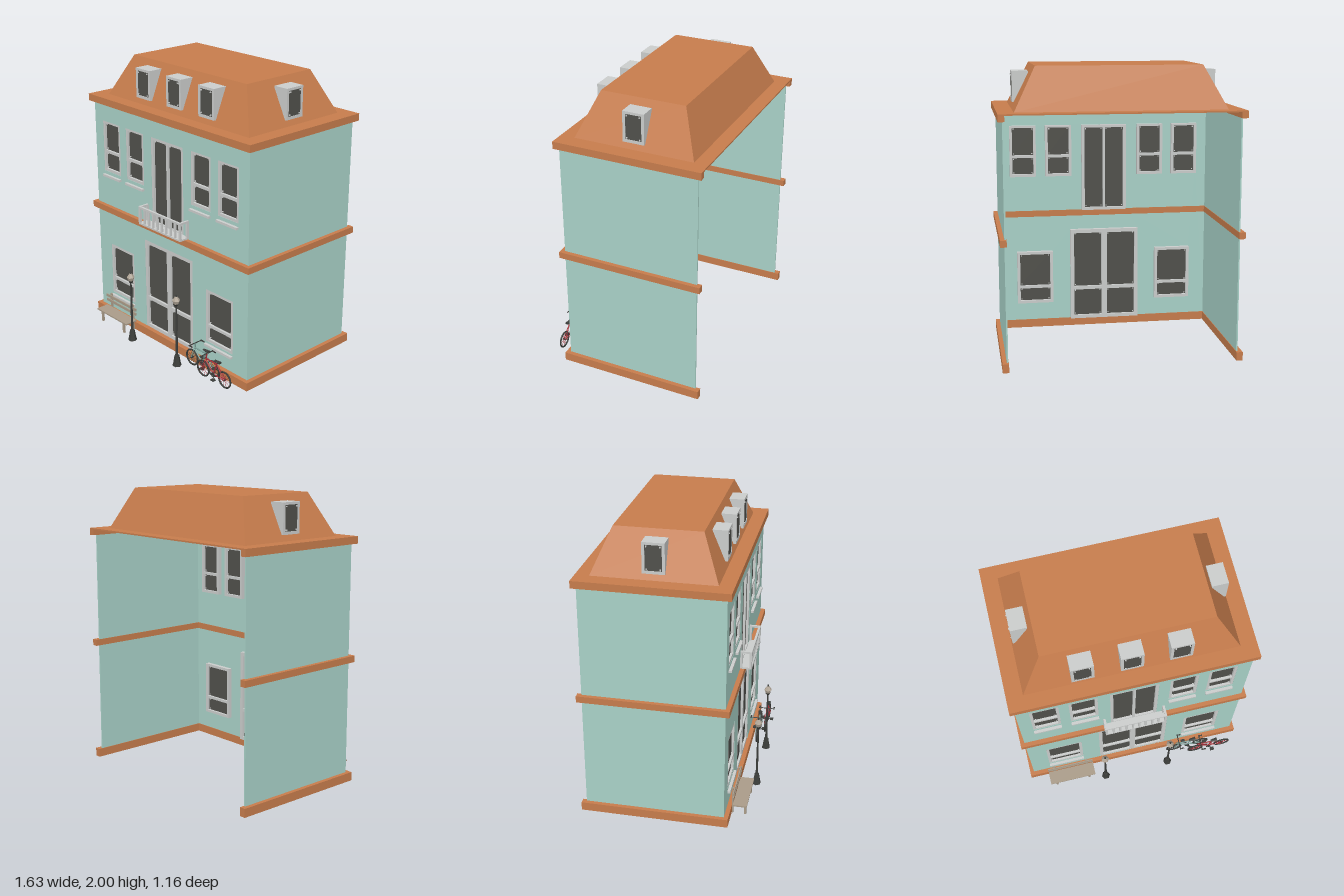
import * as THREE from 'three';

const mat = (name, color, side = THREE.FrontSide) => {
  const m = new THREE.MeshStandardMaterial({ color, side });
  m.name = name;
  return m;
};

export function createModel() {
  const M = {
    roof: mat('terracotta', 0xc67c4c, THREE.DoubleSide),
    wall: mat('mint plaster', 0xa8d1c7),
    frame: mat('pale grey', 0xcacccb),
    glass: mat('dark glass', 0x50504b),
    iron: mat('dark iron', 0x3c3e3b),
    wood: mat('weathered wood', 0xa99b88),
    lantern: mat('lantern glass', 0xb0a596),
    red: mat('red paint', 0xa93038),
    teal: mat('teal paint', 0x7fa49c),
  };
  const root = new THREE.Group();

  const group = (name, parent = root) => {
    const g = new THREE.Group();
    g.name = name;
    parent.add(g);
    return g;
  };
  const add = (parent, name, geo, m, x = 0, y = 0, z = 0) => {
    const mesh = new THREE.Mesh(geo, m);
    mesh.name = name;
    mesh.position.set(x, y, z);
    parent.add(mesh);
    return mesh;
  };
  // box given by its limits on each axis
  const block = (parent, name, m, x0, x1, y0, y1, z0, z1) =>
    add(parent, name, new THREE.BoxGeometry(x1 - x0, y1 - y0, z1 - z0), m,
      (x0 + x1) / 2, (y0 + y1) / 2, (z0 + z1) / 2);
  // round rod between two points
  const rod = (parent, name, m, a, b, r, sides = 6) => {
    const p = new THREE.Vector3(...a), q = new THREE.Vector3(...b);
    const d = q.clone().sub(p);
    const mesh = add(parent, name, new THREE.CylinderGeometry(r, r, d.length(), sides), m);
    mesh.position.copy(p).add(q).multiplyScalar(0.5);
    mesh.quaternion.setFromUnitVectors(new THREE.Vector3(0, 1, 0), d.normalize());
    return mesh;
  };
  const rect = (P, x0, x1, y0, y1) => {
    const s = new P();
    s.moveTo(x0, y0); s.lineTo(x1, y0); s.lineTo(x1, y1); s.lineTo(x0, y1); s.closePath();
    return s;
  };
  // frame with rectangular panes [x0, x1, y0, y1], glazed in the middle of its depth
  const glazed = (parent, name, o, panes, depth) => {
    const g = group(name, parent);
    const s = rect(THREE.Shape, ...o);
    panes.forEach(p => s.holes.push(rect(THREE.Path, ...p)));
    add(g, 'frame', new THREE.ExtrudeGeometry(s, { depth, bevelEnabled: false }), M.frame);
    panes.forEach(([a, b, c, d]) => {
      block(g, 'pane', M.glass, a, b, c, d, depth * 0.45, depth * 0.45 + 0.006);
      for (const x of [a + 0.01, b - 0.01]) for (const y of [c + 0.01, d - 0.01])
        block(g, 'paneClip', M.frame, x - 0.004, x + 0.004, y - 0.004, y + 0.004, depth * 0.4, depth * 0.4 + 0.014);
    });
    return g;
  };

  // Openings of the front wall
  const openings = [];
  for (const cx of [-0.522, 0.518]) openings.push({
    name: 'groundWindow', o: [cx - 0.133, cx + 0.133, 0.195, 0.588], sill: 0.165,
    panes: [[cx - 0.112, cx + 0.112, 0.33, 0.568], [cx - 0.112, cx + 0.112, 0.215, 0.31]],
  });
  for (const cx of [-0.605, -0.345, 0.337, 0.598]) openings.push({
    name: 'upperWindow', o: [cx - 0.096, cx + 0.096, 1.155, 1.53], sill: 1.115,
    panes: [[cx - 0.077, cx + 0.077, 1.315, 1.515], [cx - 0.077, cx + 0.077, 1.175, 1.295]],
  });
  openings.push({
    name: 'entranceDoor', o: [-0.258, 0.252, 0.06, 0.747],
    panes: [[-0.232, -0.022], [0.018, 0.225]].flatMap(([a, b]) => [[a, b, 0.31, 0.72], [a, b, 0.085, 0.285]]),
  });
  openings.push({
    name: 'balconyDoor', o: [-0.166, 0.164, 0.895, 1.53],
    panes: [[-0.145, -0.01, 0.915, 1.51], [0.008, 0.143, 0.915, 1.51]],
  });

  // Walls, open at the back
  const W = 0.788, walls = group('walls');
  const front = rect(THREE.Shape, -W, W, 0.01, 1.705);
  openings.forEach(w => front.holes.push(rect(THREE.Path, ...w.o)));
  add(walls, 'frontWall', new THREE.ExtrudeGeometry(front, { depth: 0.01, bevelEnabled: false }), M.wall, 0, 0, 0.4);
  for (const s of [-1, 1]) add(walls, 'sideWall', new THREE.BoxGeometry(0.01, 1.695, 0.95), M.wall, s * (W - 0.005), 0.8575, -0.075);

  openings.forEach(w => {
    glazed(root, w.name, w.o, w.panes, 0.04).position.z = 0.368;
    if (w.sill) block(root, 'windowSill', M.frame, w.o[0], w.o[1], w.sill, w.sill + 0.016, 0.405, 0.43);
  });

  // Trim bands around three sides
  for (const [name, y0, y1] of [['baseTrim', 0, 0.06], ['middleTrim', 0.85, 0.895], ['eavesTrim', 1.66, 1.708]]) {
    const g = group(name);
    block(g, 'frontTrim', M.roof, -0.817, 0.817, y0, y1, 0.396, 0.44);
    block(g, 'rightTrim', M.roof, -0.817, -0.774, y0, y1, -0.58, 0.396);
    block(g, 'leftTrim', M.roof, 0.774, 0.817, y0, y1, -0.58, 0.396);
  }

  // Mansard roof: a four-sided frustum over a thin deck
  const roof = group('roof');
  block(roof, 'deck', M.roof, -0.817, 0.817, 1.7, 1.71, -0.58, 0.44);
  const hip = new THREE.BoxGeometry(1, 0.29, 1);
  const hp = hip.attributes.position;
  for (let i = 0; i < hp.count; i++) {
    const top = hp.getY(i) > 0;
    hp.setX(i, Math.sign(hp.getX(i)) * (top ? 0.56 : 0.708));
    hp.setZ(i, Math.sign(hp.getZ(i)) * (top ? 0.292 : 0.413));
  }
  hip.computeVertexNormals();
  add(roof, 'mansard', hip, M.roof, 0, 1.855, -0.072);

  // Dormers on the front and both ends
  const dormer = (x, z, turn) => {
    const g = group('dormer', roof);
    block(g, 'dormerBody', M.frame, -0.074, 0.074, 1.75, 1.957, -0.11, -0.015);
    glazed(g, 'dormerWindow', [-0.074, 0.074, 1.75, 1.957], [[-0.055, 0.055, 1.77, 1.94]], 0.015).position.z = -0.015;
    g.position.set(x, 0, z);
    g.rotation.y = turn;
  };
  for (const x of [-0.32, -0.002, 0.316]) dormer(x, 0.342, 0);
  for (const s of [-1, 1]) dormer(s * 0.7, -0.073, s * Math.PI / 2);

  // Balcony
  const bal = group('balcony');
  block(bal, 'floor', M.frame, -0.22, 0.218, 0.9, 0.912, 0.41, 0.49);
  block(bal, 'topRail', M.frame, -0.22, 0.218, 1.018, 1.032, 0.474, 0.49);
  for (const x of [-0.22, 0.202]) {
    block(bal, 'sideRail', M.frame, x, x + 0.016, 1.018, 1.032, 0.41, 0.474);
    for (const z of [0.41, 0.474]) block(bal, 'post', M.frame, x, x + 0.016, 0.912, 1.018, z, z + 0.016);
  }
  for (let i = 0; i < 8; i++) {
    const x = -0.162 + i * 0.046;
    block(bal, 'baluster', M.frame, x - 0.007, x + 0.007, 0.912, 1.018, 0.476, 0.488);
  }

  // Street lamps, hexagonal
  for (const x of [-0.248, 0.246]) {
    const g = group('streetLamp');
    g.position.set(x, 0, 0.555);
    const hex = (name, m, rt, rb, y0, y1) => {
      const geo = new THREE.CylinderGeometry(rt, rb, y1 - y0, 6).toNonIndexed();
      geo.computeVertexNormals();
      add(g, name, geo, m, 0, (y0 + y1) / 2).rotation.y = Math.PI / 6;
    };
    hex('foot', M.iron, 0.028, 0.032, 0, 0.02);
    hex('base', M.iron, 0.017, 0.027, 0.02, 0.08);
    hex('pole', M.iron, 0.006, 0.009, 0.08, 0.46);
    hex('lanternCup', M.iron, 0.02, 0.007, 0.455, 0.475);
    hex('lanternGlass', M.lantern, 0.027, 0.018, 0.475, 0.5);
    hex('lanternCap', M.lantern, 0.008, 0.029, 0.5, 0.53);
    hex('finial', M.iron, 0.004, 0.008, 0.53, 0.542);
  }

  // Bench
  const bench = group('bench');
  block(bench, 'seat', M.wood, -0.678, -0.328, 0.08, 0.09, 0.452, 0.548);
  for (const y of [0.128, 0.163]) block(bench, 'backSlat', M.wood, -0.678, -0.328, y, y + 0.02, 0.45, 0.458);
  for (const x of [-0.63, -0.375]) {
    block(bench, 'backPost', M.wood, x - 0.01, x + 0.01, 0, 0.198, 0.441, 0.45);
    block(bench, 'frontLeg', M.wood, x - 0.008, x + 0.008, 0, 0.08, 0.525, 0.54);
    block(bench, 'seatSupport', M.wood, x - 0.008, x + 0.008, 0.068, 0.08, 0.45, 0.54);
  }

  // Bicycles, steering to the model's right
  const bicycle = (x, z, paint) => {
    const g = group('bicycle');
    g.position.set(x, 0, z);
    for (const cx of [0, 0.212]) {
      const wheel = group('wheel', g);
      wheel.position.set(cx, 0.064, 0);
      add(wheel, 'tyre', new THREE.TorusGeometry(0.056, 0.006, 6, 24), M.iron);
      for (let i = 0; i < 5; i++) {
        const a = i * Math.PI / 5, c = Math.cos(a) * 0.055, s = Math.sin(a) * 0.055;
        rod(wheel, 'spokes', paint === M.red ? M.red : M.iron, [-c, -s, 0], [c, s, 0], 0.0014, 4);
      }
      rod(wheel, 'hub', M.iron, [0, 0, -0.012], [0, 0, 0.012], 0.006);
    }
    const crank = [0.105, 0.06, 0], seat = [0.135, 0.15, 0], head = [0.03, 0.15, 0];
    rod(g, 'topTube', paint, head, seat, 0.005);
    rod(g, 'downTube', paint, [0.027, 0.135, 0], crank, 0.005);
    rod(g, 'seatTube', paint, crank, [0.14, 0.168, 0], 0.005);
    for (const s of [-0.01, 0.01]) {
      rod(g, 'chainStay', paint, crank, [0.212, 0.064, s], 0.003);
      rod(g, 'seatStay', paint, seat, [0.212, 0.064, s], 0.003);
      rod(g, 'fork', paint, [0.028, 0.14, s], [0, 0.064, s], 0.003);
      rod(g, 'pedalArm', M.iron, [0.105, 0.06, s * 1.5], [0.105 + s * 2.5, 0.06 - s * 2, s * 1.5], 0.003);
      block(g, 'pedal', M.iron, 0.09 + s * 2.5, 0.12 + s * 2.5, 0.056 - s * 2, 0.063 - s * 2, s * 3 - 0.012, s * 3 + 0.012);
      rod(g, 'handleGrip', M.iron, [0.03, 0.188, s * 5.5], [0.062, 0.186, s * 5.5], 0.005);
    }
    rod(g, 'stem', paint, [0.028, 0.14, 0], [0.036, 0.188, 0], 0.005);
    rod(g, 'handlebar', M.iron, [0.034, 0.188, -0.056], [0.034, 0.188, 0.056], 0.004);
    add(g, 'chainring', new THREE.CylinderGeometry(0.018, 0.018, 0.004, 12), M.iron, 0.105, 0.06, 0.008).rotation.x = Math.PI / 2;
    const saddle = add(g, 'saddle', new THREE.CylinderGeometry(0.016, 0.009, 0.05, 8), M.iron, 0.142, 0.172, 0);
    saddle.rotation.z = -Math.PI / 2;
    saddle.scale.x = 0.5;
  };
  bicycle(0.317, 0.476, M.teal);
  bicycle(0.478, 0.52, M.red);

  return root;
}
